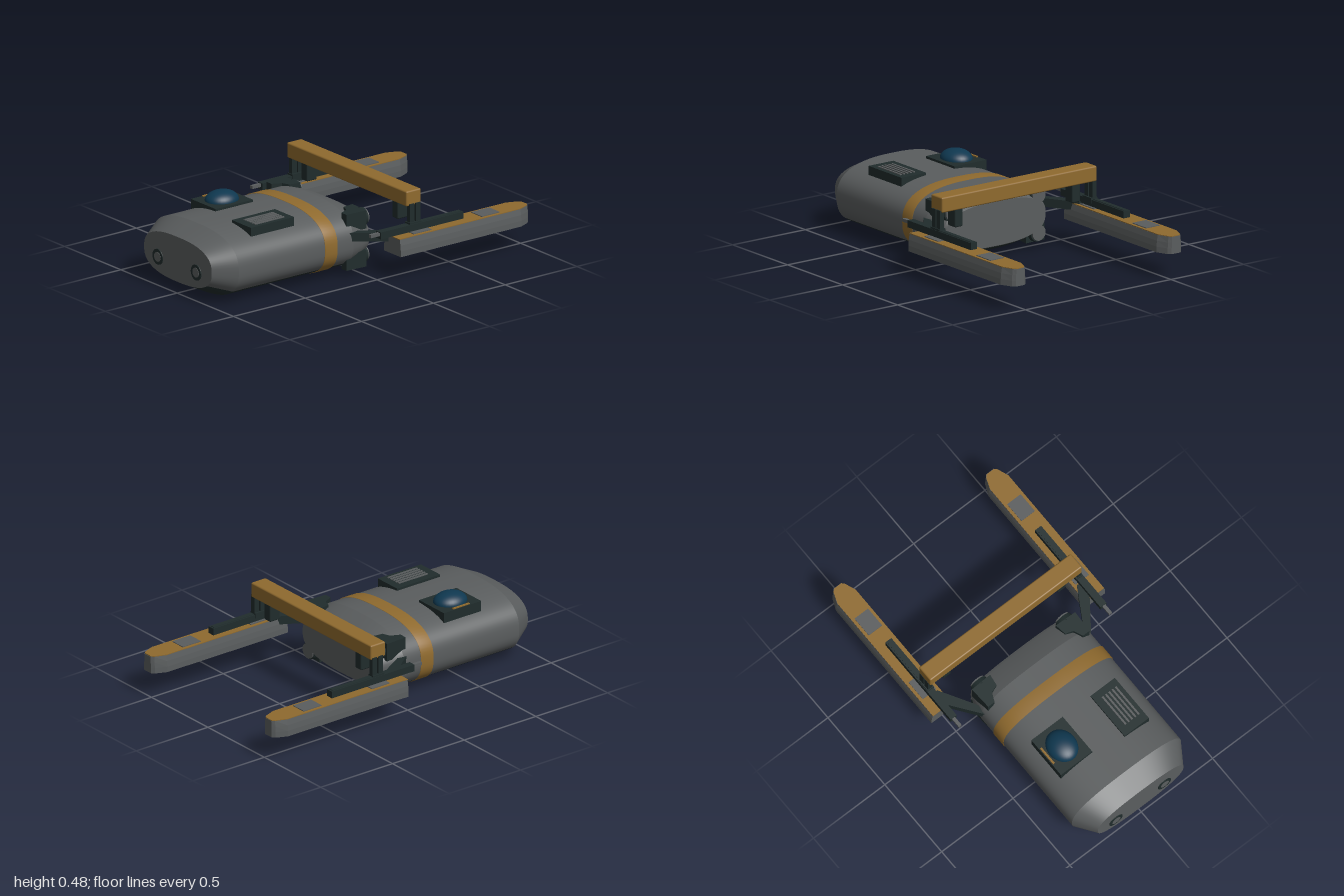
import * as THREE from 'three';
import { RoundedBoxGeometry } from 'three/addons/geometries/RoundedBoxGeometry.js';

const paint = (name, color) => {
  const m = new THREE.MeshStandardMaterial({ color });
  m.name = name;
  return m;
};

export function createModel() {
  const root = new THREE.Group();
  root.name = 'cargoPod';
  const grey = paint('hullGrey', 0x5a5d5e);
  const dark = paint('darkMetal', 0x202c2c);
  const gold = paint('ochre', 0x8f6a2e);
  const blue = paint('blueGlass', 0x0f3850);

  const add = (name, geometry, material, parent = root) => {
    const mesh = new THREE.Mesh(geometry, material);
    mesh.name = name;
    parent.add(mesh);
    return mesh;
  };
  // Box given by its minimum and maximum on each axis
  const box = (name, x0, x1, y0, y1, z0, z1, material, round = 0) => {
    const size = [x1 - x0, y1 - y0, Math.abs(z1 - z0)];
    const g = round ? new RoundedBoxGeometry(...size, 2, round) : new THREE.BoxGeometry(...size);
    g.translate((x0 + x1) / 2, (y0 + y1) / 2, (z0 + z1) / 2);
    return add(name, g, material);
  };
  // Cylinder lying along x
  const disc = (name, x0, x1, y, z, r, material, r2 = r) => {
    const g = new THREE.CylinderGeometry(r2, r, x1 - x0, 24);
    g.rotateZ(-Math.PI / 2).translate((x0 + x1) / 2, y, z);
    return add(name, g, material);
  };
  // Outline in x and z, raised from y0 to y1
  const slab = (points, y0, y1, steps = 1) => {
    const shape = new THREE.Shape(points.map(p => new THREE.Vector2(...p)));
    return new THREE.ExtrudeGeometry(shape, { depth: y1 - y0, steps, bevelEnabled: false })
      .rotateX(Math.PI / 2).translate(0, y1, 0);
  };

  // Hull: superellipse rings [x, half width, half height] joined along x
  const N = 72, K = 2 / 2.6, MID = 0.19;
  const pow = v => Math.sign(v) * Math.abs(v) ** K;
  const loft = (name, rings, upper, lower) => {
    const pos = [], top = [], belly = [];
    rings.forEach(([x, a, b], i) => {
      for (let k = 0; k < N; k++) {
        const t = (k / N) * Math.PI * 2;
        pos.push(x, MID + b * pow(Math.sin(t)), a * pow(Math.cos(t)));
        if (i === rings.length - 1) continue;
        const p = i * N + k, q = i * N + (k + 1) % N;
        const list = Math.sin(t + Math.PI / N) < -0.58 ? belly : top;
        list.push(p, p + N, q, q, p + N, q + N);
      }
    });
    const g = new THREE.BufferGeometry();
    g.setAttribute('position', new THREE.Float32BufferAttribute(pos, 3));
    g.setIndex([...top, ...belly]);
    g.addGroup(0, top.length, 0);
    g.addGroup(top.length, belly.length, 1);
    g.computeVertexNormals();
    add(name, g, [upper, lower]);
  };
  const tail = [-0.995, 0.3, 0.13], back = [-0.87, 0.382, 0.19];
  const shoulder = [-0.07, 0.382, 0.19], nose = [0.06, 0.35, 0.134];
  loft('rearTaper', [tail, back], grey, dark);
  loft('hull', [back, shoulder], grey, dark);
  loft('frontTaper', [shoulder, [0, 0.37, 0.165], nose], grey, dark);
  loft('rearFace', [[-0.995, 0.001, 0.001], tail], grey, grey);
  loft('frontFaceEdge', [nose, [0.072, 0.34, 0.127]], grey, grey);
  loft('frontFace', [[0.072, 0.34, 0.127], [0.072, 0.001, 0.001]], grey, grey);
  loft('hullBand', [[-0.27, 0.38, 0.188], [-0.27, 0.386, 0.193], [-0.185, 0.386, 0.193],
    [-0.185, 0.38, 0.188]], gold, gold);

  // Rear ports
  for (const z of [-0.175, 0.165]) {
    disc('rearPort', -1, -0.98, 0.16, z, 0.045, dark);
    disc('rearPortCore', -1.002, -0.999, 0.16, z, 0.028, grey);
  }

  // Dome on its base plate
  box('domeBase', -0.67, -0.41, 0.33, 0.392, -0.3, -0.08, dark);
  const dome = new THREE.SphereGeometry(1, 32, 12, 0, Math.PI * 2, 0, Math.PI / 2);
  add('dome', dome.scale(0.1, 0.055, 0.085).translate(-0.54, 0.391, -0.19), blue);
  box('domeStripe', -0.595, -0.48, 0.39, 0.398, -0.295, -0.283, gold);

  // Louvred vent
  box('ventPlate', -0.71, -0.41, 0.33, 0.39, 0.115, 0.285, dark);
  for (let i = 0; i < 5; i++) {
    const z = 0.157 + i * 0.023;
    box('ventSlat', -0.66, -0.455, 0.388, 0.395, z, z + 0.011, grey);
  }

  for (const s of [1, -1]) {
    // Corner clamps with small nozzles
    const clamp = [[-0.1, 0.31], [-0.1, 0.355], [0.035, 0.362], [0.04, 0.23], [-0.03, 0.24], [-0.045, 0.285]];
    const clampPoints = clamp.map(([x, z]) => [x, z * s]);
    add('upperClamp', slab(clampPoints, 0.25, 0.355), dark);
    add('lowerClamp', slab(clampPoints, 0.03, 0.125), dark);
    for (const y of [0.3, 0.085]) {
      disc('cornerNozzle', 0.03, 0.062, y, s * 0.297, 0.056, dark, 0.05);
      disc('cornerNozzleTip', 0.062, 0.072, y, s * 0.297, 0.044, grey);
    }

    // Diagonal strut from hull to rail
    const strut = [[-0.11, 0.36], [-0.06, 0.35], [0.18, 0.49], [0.18, 0.53], [0.12, 0.53]];
    add('strut', slab(strut.map(([x, z]) => [x, z * s]), 0.203, 0.252), dark);

    // Rail and slide rod
    box('rail', -0.01, 0.565, 0.245, 0.285, s * 0.504, s * 0.546, dark);
    box('slideRod', -0.07, 0.1, 0.262, 0.28, s * 0.517, s * 0.537, grey);
    box('railStrip', 0.2, 0.555, 0.284, 0.288, s * 0.512, s * 0.538, dark);

    // Loading arm with sides drawn in toward the top
    const outline = w => [[0.08, -w], [0.92, -w], [0.985, -w * 0.62], [1, -w * 0.4],
      [1, w * 0.4], [0.985, w * 0.62], [0.92, w], [0.08, w]];
    const arm = slab(outline(0.074), 0.14, 0.238, 3);
    const p = arm.attributes.position;
    for (let i = 0; i < p.count; i++) {
      const y = p.getY(i);
      p.setZ(i, p.getZ(i) * (y > 0.23 ? 0.88 : y > 0.19 ? 0.96 : 1));
    }
    arm.computeVertexNormals();
    add('arm', arm.translate(0, 0, s * 0.535), grey);
    add('armDeck', slab(outline(0.0645), 0.237, 0.242).translate(-0.002, 0, s * 0.535), gold);
    for (const x of [0.19, 0.665]) {
      box('armPad', x, x + 0.125, 0.241, 0.246, s * 0.535 - 0.047, s * 0.535 + 0.047, grey);
    }

    // Crossbar supports
    box('postFoot', 0.195, 0.275, 0.265, 0.295, s * 0.5, s * 0.543, dark);
    for (const x of [0.2, 0.242]) box('post', x, x + 0.033, 0.28, 0.4, s * 0.51, s * 0.537, dark);
    box('hangingBlock', 0.2, 0.27, 0.285, 0.395, s * 0.375, s * 0.43, dark, 0.008);
  }

  // Crossbar
  box('crossbar', 0.182, 0.284, 0.388, 0.476, -0.535, 0.53, gold, 0.009);
  return root;
}
